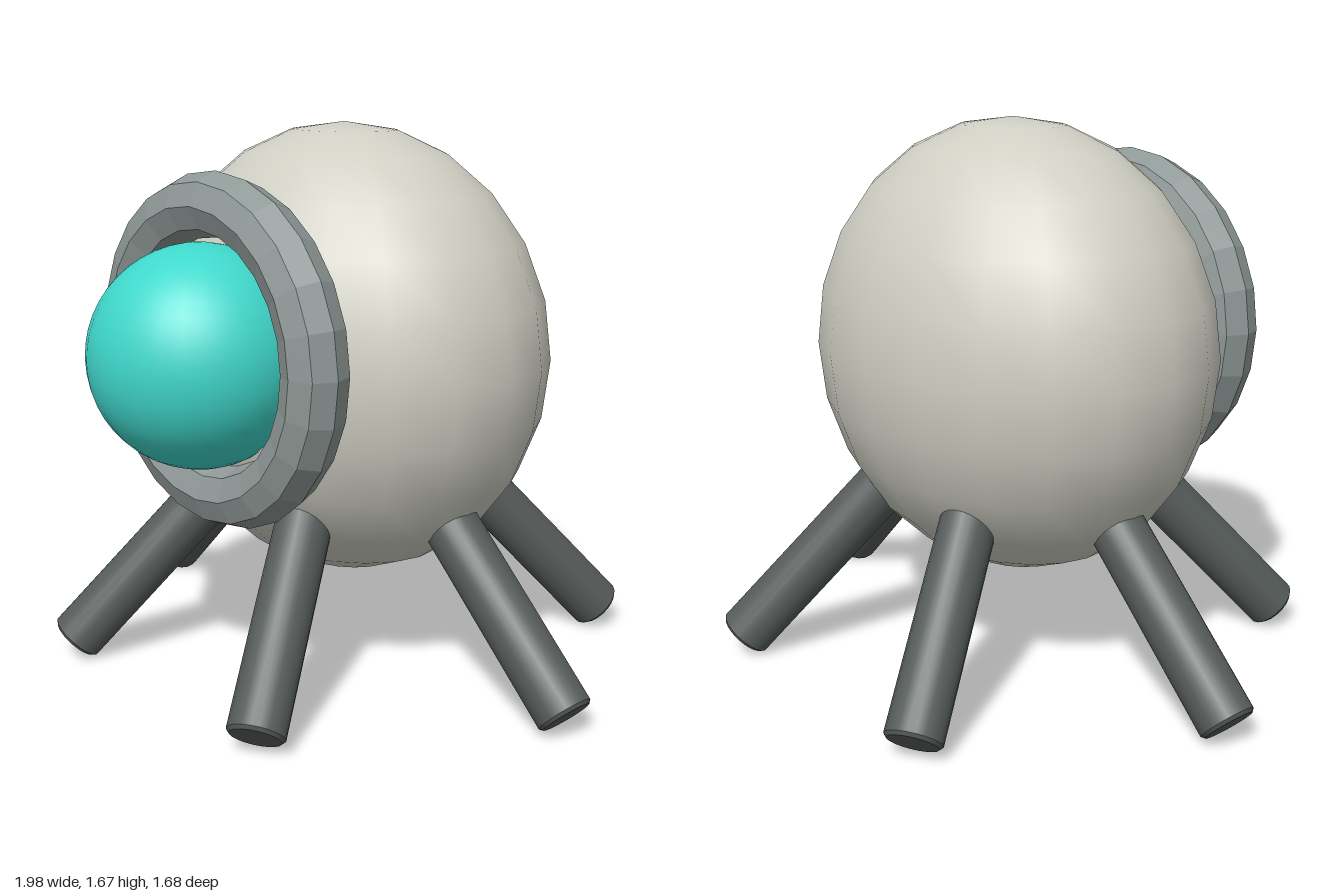
import * as THREE from 'three';
import { toCreasedNormals } from 'three/addons/utils/BufferGeometryUtils.js';

const material = (color, flatShading = false) =>
  new THREE.MeshStandardMaterial({ color, flatShading });

const shell = material(0xcfcfc4);
const metal = material(0x8f9997, true);
const dark = material(0x565c5b);
const lens = material(0x40d8cc);

const CENTRE = new THREE.Vector3(0, 0.98, -0.045);

function addPart(group, name, geometry, mat, x, y, z) {
  const mesh = new THREE.Mesh(geometry, mat);
  mesh.name = name;
  mesh.position.set(x, y, z);
  group.add(mesh);
  return mesh;
}

// Leg standing along +y from its foot, with a small bevel round the foot
function legGeometry(radius, length, bevel) {
  const profile = [
    [0, 0], [radius - bevel, 0], [radius, bevel], [radius, length], [0, length],
  ].map(([r, y]) => new THREE.Vector2(r, y));
  return toCreasedNormals(new THREE.LatheGeometry(profile, 20), 0.6);
}

export function createModel() {
  const model = new THREE.Group();
  model.name = 'eyeWalker';

  // Body: a sphere flattened from front to back
  const body = addPart(model, 'body', new THREE.SphereGeometry(0.697, 20, 12), shell,
    CENTRE.x, CENTRE.y, CENTRE.z);
  body.scale.z = 0.8;

  // Eye and its faceted rim
  addPart(model, 'eye', new THREE.SphereGeometry(0.328, 32, 24), lens, 0, 1.028, 0.512);
  addPart(model, 'eyeRim', new THREE.TorusGeometry(0.43, 0.095, 8, 24), metal, 0, 1.03, 0.445);

  // Six legs, all pointing at the middle of the body
  const leg = legGeometry(0.085, 0.76, 0.01);
  const up = new THREE.Vector3(0, 1, 0);
  const feet = { front: [0.46, 0.69], middle: [0.94, -0.045], back: [0.46, -0.78] };
  for (const [place, [x, z]] of Object.entries(feet)) {
    for (const side of [1, -1]) {
      const mesh = addPart(model, `${place}${side > 0 ? 'Left' : 'Right'}Leg`, leg, dark,
        side * x, 0.06, z);
      const direction = CENTRE.clone().sub(mesh.position).normalize();
      mesh.quaternion.setFromUnitVectors(up, direction);
    }
  }

  return model;
}
